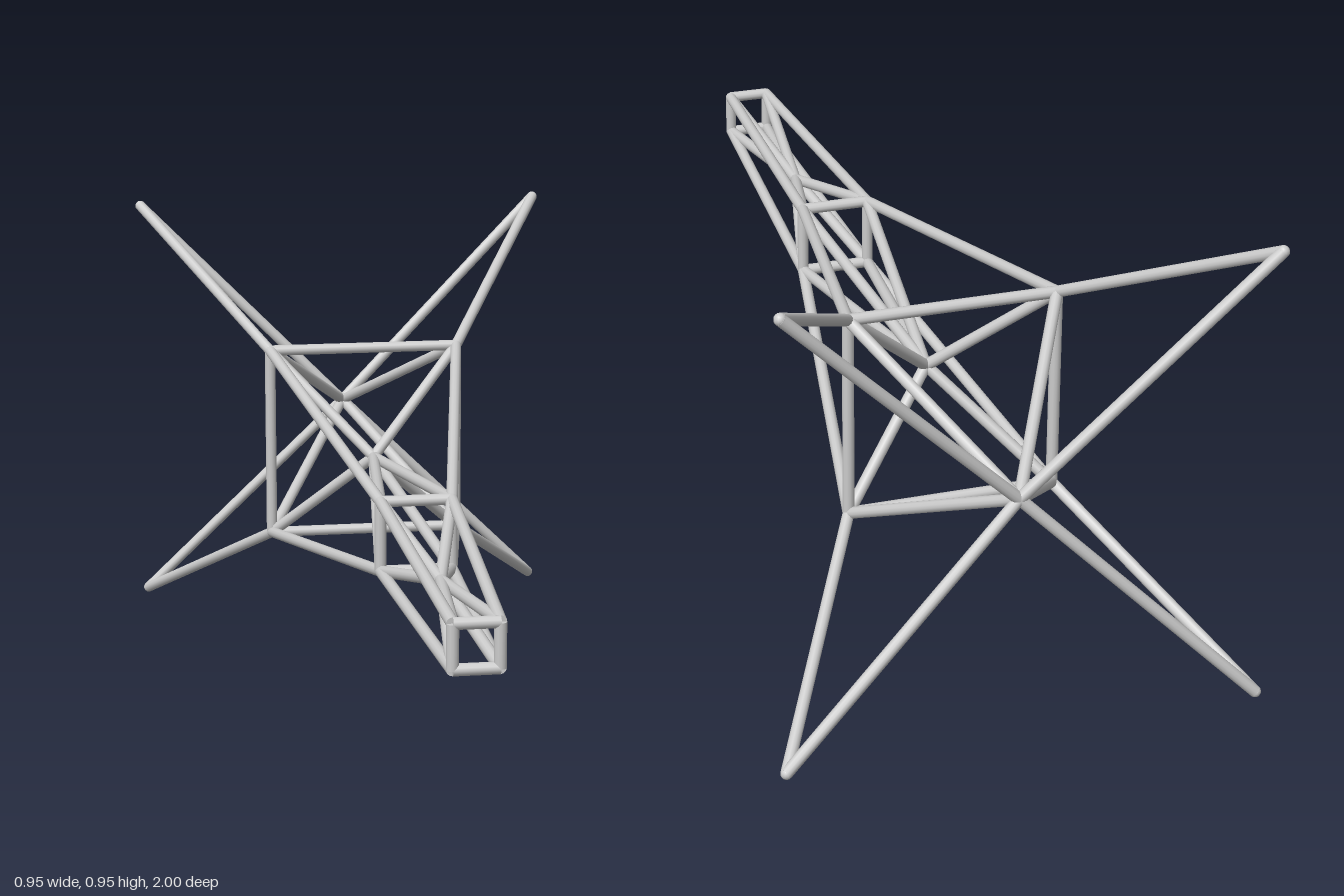
import * as THREE from 'three';

const CY = 0.474;      // height of the long axis
const RADIUS = 0.0118; // tube radius
const UP = new THREE.Vector3(0, 1, 0);

export function createModel() {
  const model = new THREE.Group();
  model.name = 'tubeTruss';
  const steel = new THREE.MeshStandardMaterial({ color: 0xcccccc });
  steel.name = 'lightSteel';

  const node = (z) => new THREE.Vector3(0, CY, z);
  const square = (half, z) =>
    [[1, 1], [-1, 1], [-1, -1], [1, -1]].map(([x, y]) => new THREE.Vector3(x * half, CY + y * half, z));

  // one straight tube between two points
  function tube(name, a, b) {
    const dir = b.clone().sub(a);
    const mesh = new THREE.Mesh(new THREE.CylinderGeometry(RADIUS, RADIUS, dir.length(), 12), steel);
    mesh.position.copy(a).add(b).multiplyScalar(0.5);
    mesh.quaternion.setFromUnitVectors(UP, dir.normalize());
    mesh.name = name;
    model.add(mesh);
  }
  const ring = (name, c) => c.forEach((p, i) => tube(name, p, c[(i + 1) % 4]));
  const link = (name, c, d) => c.forEach((p, i) => tube(name, p, d[i]));
  const fan = (name, c, n) => c.forEach((p) => tube(name, p, n));

  const nose = square(0.043, 0.988);
  const middle = square(0.072, 0.265);
  const rear = square(0.209, -0.535);
  const tips = square(0.463, -0.988);
  const noseNode = node(0.58), bodyNode = node(-0.37), tailNode = node(-0.923);

  // square frames
  ring('noseFrame', nose);
  ring('middleFrame', middle);
  ring('rearFrame', rear);

  // outer longerons and fins
  link('noseLongeron', nose, middle);
  link('bodyLongeron', middle, rear);
  link('finLeadingTube', rear, tips);
  fan('finTrailingTube', tips, tailNode);

  // rounded fin tips
  tips.forEach((p) => {
    const tip = new THREE.Mesh(new THREE.SphereGeometry(RADIUS, 12, 8), steel);
    tip.position.copy(p);
    tip.name = 'finTip';
    model.add(tip);
  });

  // inner braces meeting on the axis
  fan('noseBrace', nose, noseNode);
  fan('noseBrace', middle, noseNode);
  fan('bodyBrace', middle, bodyNode);
  fan('bodyBrace', rear, bodyNode);
  fan('tailBrace', rear, tailNode);

  return model;
}
